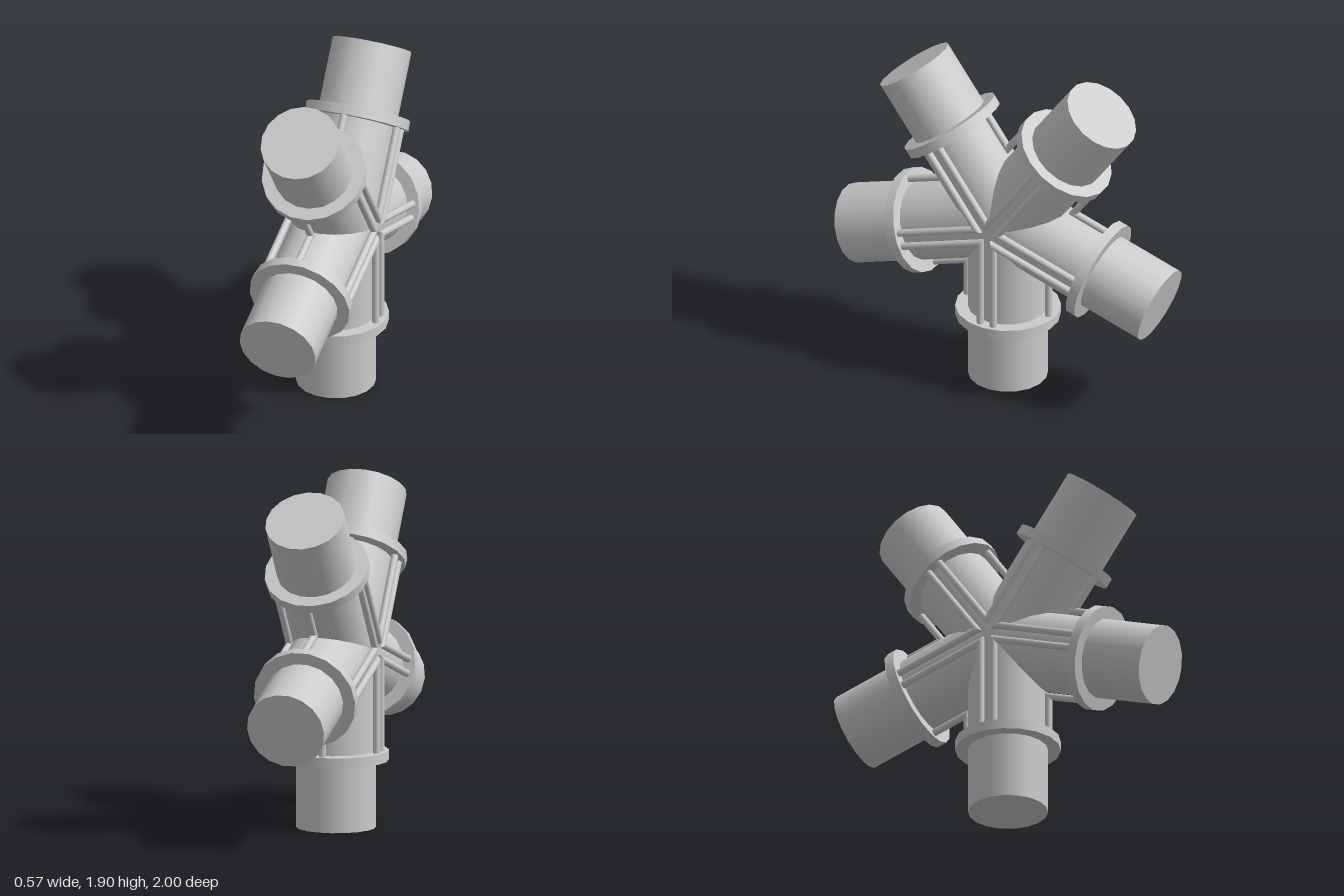
import * as THREE from 'three';

const ARMS = 5;
const CENTRE_Y = 0.981;
const ARM_LENGTH = 0.981;
const HALF_ANGLE = Math.PI / ARMS;
const material = new THREE.MeshStandardMaterial({ color: 0xcccccc });

// Cylinder pointing down from the hub, its inner end mitred against the neighbouring arms
function mitredCylinder(name, radius, sides, x, z, end) {
  const geometry = new THREE.CylinderGeometry(radius, radius, 1, sides, 1, false, Math.PI / 2);
  geometry.translate(x, 0, z);
  const pos = geometry.attributes.position;
  for (let i = 0; i < pos.count; i++) {
    const inner = pos.getY(i) > 0;
    pos.setY(i, inner ? -Math.abs(pos.getZ(i)) / Math.tan(HALF_ANGLE) : -end);
  }
  const mesh = new THREE.Mesh(geometry, material);
  mesh.name = name;
  return mesh;
}

function createArm() {
  const arm = new THREE.Group();
  arm.name = 'arm';
  arm.add(mitredCylinder('pipe', 0.218, 18, 0, 0, ARM_LENGTH));

  // Flange ring around the pipe
  const collar = new THREE.Mesh(
    new THREE.CylinderGeometry(0.287, 0.287, 0.055, 18, 1, false, Math.PI / 2), material);
  collar.name = 'collar';
  collar.position.y = -0.585;
  arm.add(collar);

  // Rods from the collar that meet the next arm's rods in a V
  for (const side of [-1, 1]) {
    arm.add(mitredCylinder('outerRod', 0.02, 12, 0, side * 0.25, 0.58));
    for (const face of [-1, 1]) {
      arm.add(mitredCylinder('faceRod', 0.02, 12, face * 0.243, side * 0.04, 0.58));
    }
  }
  return arm;
}

export function createModel() {
  const model = new THREE.Group();
  model.name = 'fiveWayPipeJoint';
  for (let i = 0; i < ARMS; i++) {
    const arm = createArm();
    arm.position.y = CENTRE_Y;
    arm.rotation.x = i * 2 * HALF_ANGLE;
    model.add(arm);
  }
  return model;
}
